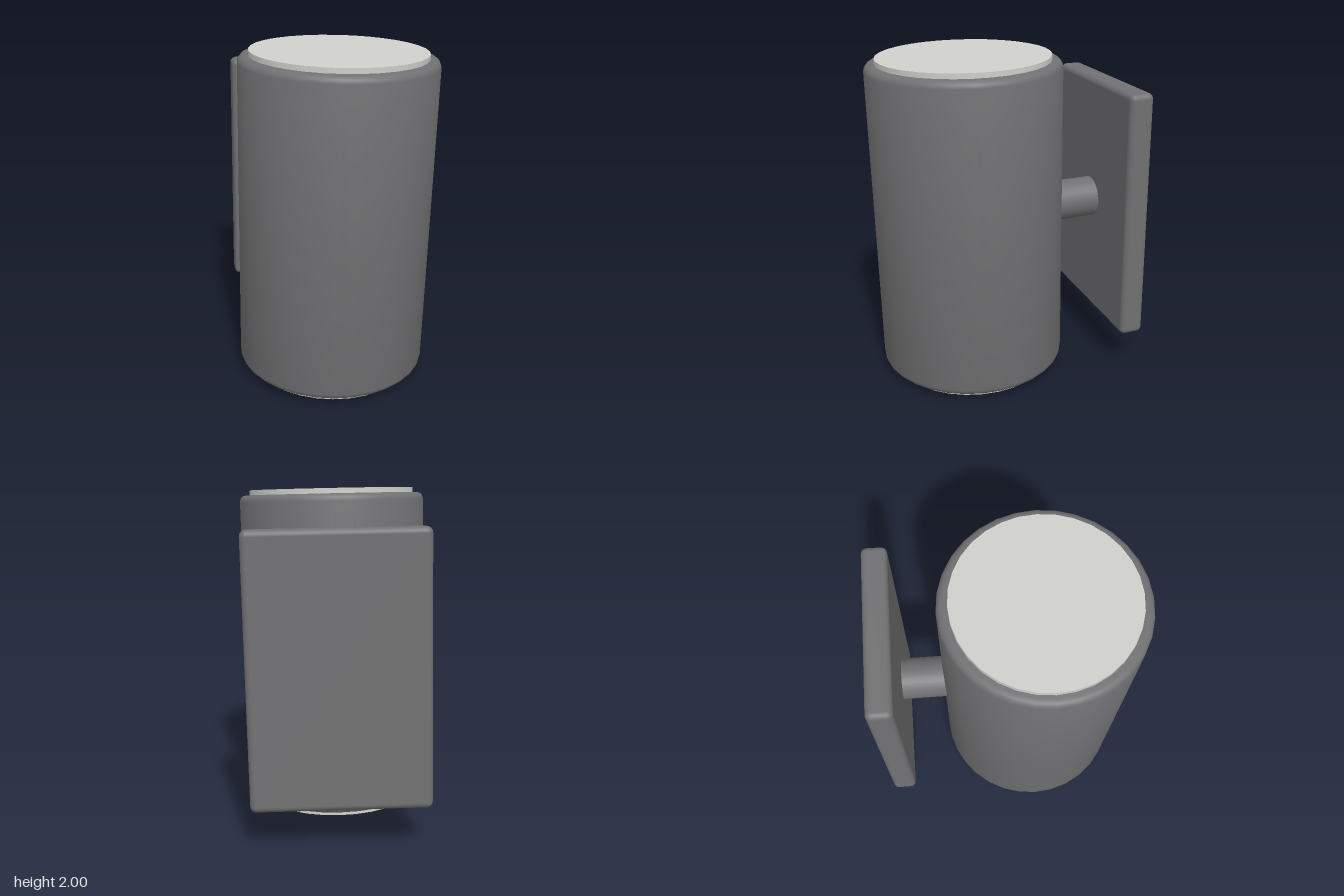
import * as THREE from 'three';
import { toCreasedNormals } from 'three/addons/utils/BufferGeometryUtils.js';
import { RoundedBoxGeometry } from 'three/addons/geometries/RoundedBoxGeometry.js';

const RADIUS = 0.577, HALF = 0.955, BEVEL = 0.04, SIDES = 32;

export function createModel() {
  const darkMetal = new THREE.MeshStandardMaterial({ color: 0x717173 });
  darkMetal.name = 'darkMetal';
  const lens = new THREE.MeshStandardMaterial({ color: 0xd0d0cc });
  lens.name = 'lens';

  // The whole lamp leans slightly about the centre of its body
  const lamp = new THREE.Group();
  lamp.name = 'wallLamp';
  lamp.position.set(0, 1, 0.2);
  lamp.rotation.set(0.025, 0, -0.02);

  const add = (name, geometry, material, x = 0, y = 0, z = 0) => {
    const mesh = new THREE.Mesh(geometry, material);
    mesh.name = name;
    mesh.position.set(x, y, z);
    lamp.add(mesh);
    return mesh;
  };

  // Cylindrical body with rounded rims
  const profile = [new THREE.Vector2(0, -HALF)];
  for (const end of [-1, 1]) {
    for (let i = 0; i <= 3; i++) {
      const a = (end < 0 ? i - 3 : i) * Math.PI / 6;
      profile.push(new THREE.Vector2(
        RADIUS - BEVEL + BEVEL * Math.cos(a),
        end * (HALF - BEVEL) + BEVEL * Math.sin(a)));
    }
  }
  profile.push(new THREE.Vector2(0, HALF));
  add('body', toCreasedNormals(new THREE.LatheGeometry(profile, SIDES), 0.6), darkMetal);

  // Light discs at both ends
  for (const [name, side] of [['upperLens', 1], ['lowerLens', -1]]) {
    add(name, new THREE.CylinderGeometry(0.514, 0.514, 0.06, SIDES), lens, 0, side * 0.955, 0);
  }

  // Arm and wall plate
  const arm = add('arm', new THREE.CylinderGeometry(0.127, 0.127, 0.36, SIDES), darkMetal, 0, 0, -0.69);
  arm.rotation.x = Math.PI / 2;
  add('wallPlate', new RoundedBoxGeometry(1.015, 1.55, 0.148, 3, 0.035), darkMetal, 0, 0, -0.905);

  const model = new THREE.Group();
  model.add(lamp);
  return model;
}
